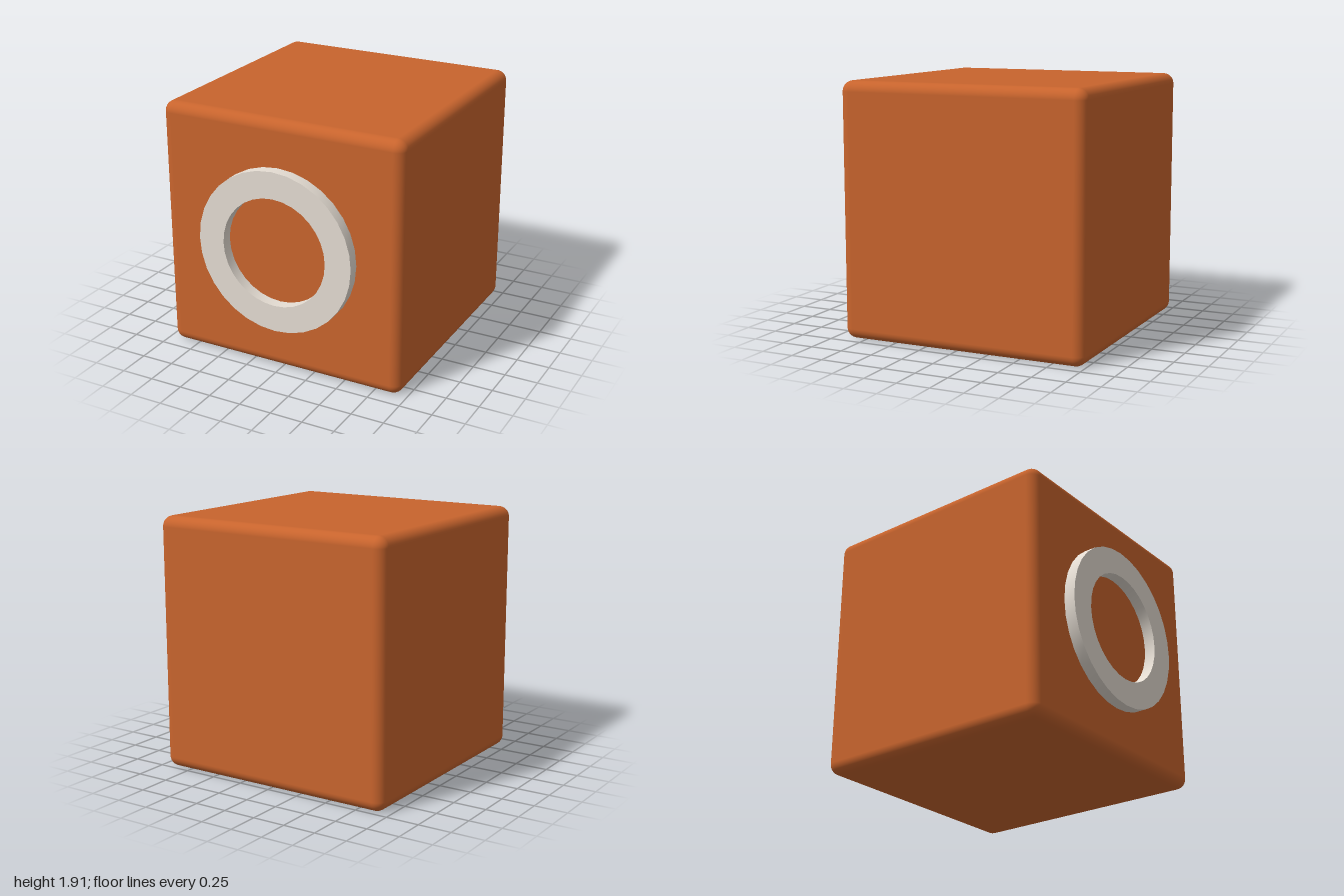
import * as THREE from 'three';
import { RoundedBoxGeometry } from 'three/addons/geometries/RoundedBoxGeometry.js';
import { toCreasedNormals } from 'three/addons/utils/BufferGeometryUtils.js';

const SIZE = 1.915;      // cube edge
const RING_DEPTH = 0.085; // how far the ring stands proud

export function createModel() {
  const model = new THREE.Group();
  model.name = 'cubeWithRing';

  // Rounded cube, its back at z = -1
  const body = new THREE.Mesh(
    new RoundedBoxGeometry(SIZE, SIZE, SIZE, 5, 0.08),
    new THREE.MeshStandardMaterial({ color: 0xc8642d })
  );
  body.name = 'body';
  body.position.set(0, SIZE / 2, -RING_DEPTH / 2);
  model.add(body);

  // Flat ring on the front face: rectangular section, sharp rims, smooth walls
  const inner = 0.413, outer = 0.615;
  const section = [
    [inner, 0], [outer, 0], [outer, RING_DEPTH], [inner, RING_DEPTH], [inner, 0],
  ].map(([r, h]) => new THREE.Vector2(r, h));
  const ringGeometry = toCreasedNormals(new THREE.LatheGeometry(section, 32), Math.PI / 5);
  ringGeometry.rotateX(Math.PI / 2);
  const ring = new THREE.Mesh(
    ringGeometry,
    new THREE.MeshStandardMaterial({ color: 0xe4dcd2 })
  );
  ring.name = 'frontRing';
  ring.position.set(0, SIZE / 2, 1 - RING_DEPTH);
  model.add(ring);

  return model;
}
